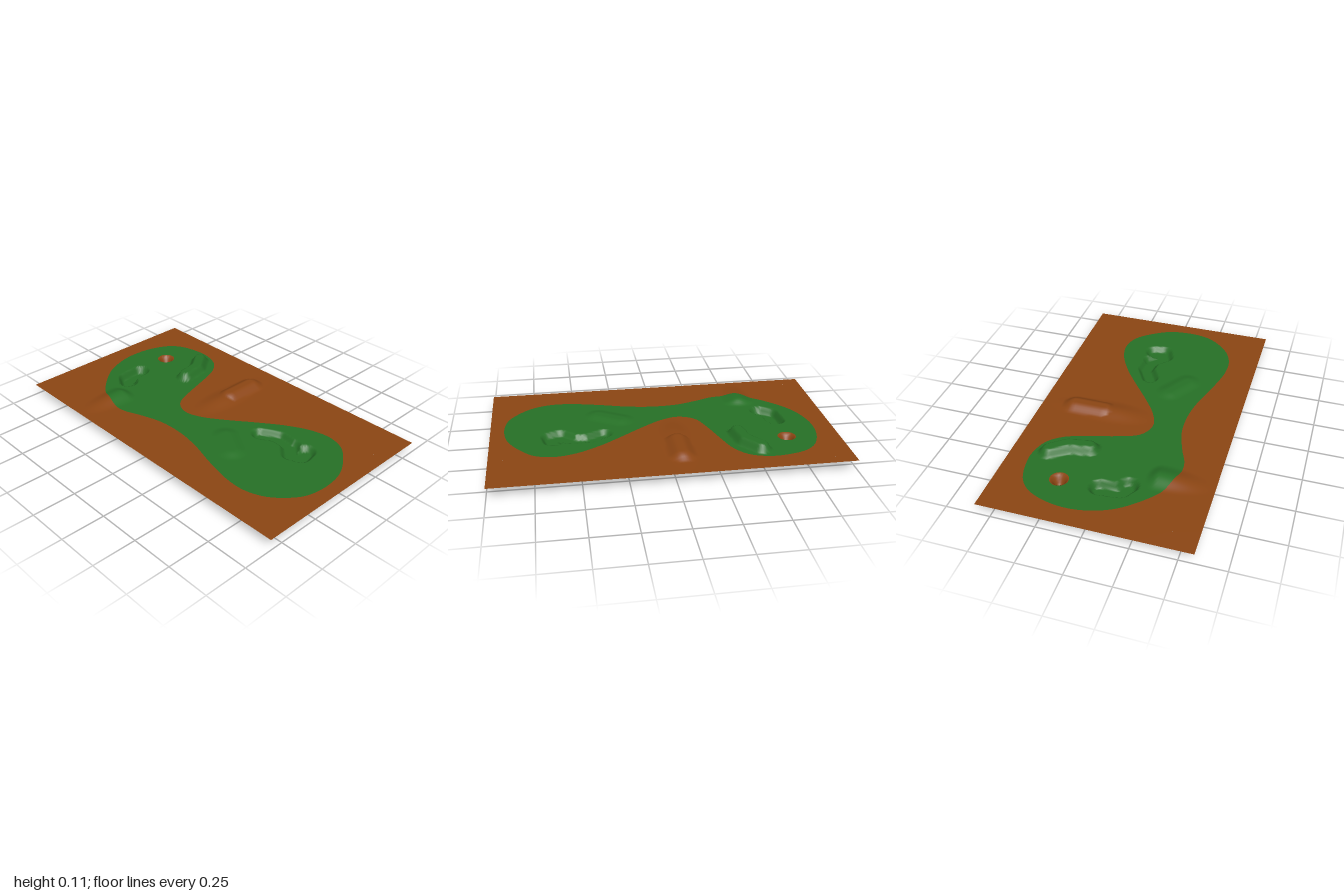
import * as THREE from 'three';

const BASE = 0.067, HALF_W = 0.58, HALF_L = 1;
const CUP = { x: 0.235, z: -0.695, r: 0.053 };
const smooth = THREE.MathUtils.smoothstep;

// Closed outline of the green, as [x, z]
const OUTLINE = [
  [0.12, -0.887], [0.25, -0.87], [0.36, -0.82], [0.42, -0.75], [0.455, -0.62], [0.455, -0.53],
  [0.42, -0.43], [0.34, -0.36], [0.2, -0.31], [0.05, -0.265], [-0.06, -0.22], [-0.1, -0.17],
  [-0.115, -0.1], [-0.08, 0], [0, 0.12], [0.1, 0.25], [0.2, 0.39], [0.27, 0.53], [0.29, 0.65],
  [0.26, 0.75], [0.18, 0.83], [0.06, 0.9], [-0.08, 0.92], [-0.2, 0.9], [-0.28, 0.85],
  [-0.36, 0.76], [-0.4, 0.65], [-0.4, 0.53], [-0.36, 0.35], [-0.31, 0.18], [-0.285, 0.03],
  [-0.29, -0.13], [-0.33, -0.27], [-0.37, -0.38], [-0.37, -0.48], [-0.32, -0.62],
  [-0.24, -0.72], [-0.12, -0.82], [0, -0.87],
];

// Flat-topped ridges (rise > 0) and trenches (rise < 0) following a path
const RIDGES = [
  { path: [[-0.13, -0.63], [-0.1, -0.68], [0.01, -0.69]], rise: -0.046, inner: 0.03, outer: 0.062 },
  { path: [[0.04, 0.35], [0.09, 0.44], [0.08, 0.54]], rise: -0.034, inner: 0.025, outer: 0.058 },
  { path: [[0.08, 0.54], [0.02, 0.6], [0.04, 0.65], [0.09, 0.64]], rise: -0.034, inner: 0.03, outer: 0.065 },
  { path: [[0.16, -0.42], [0.28, -0.44], [0.37, -0.51]], rise: 0.045, inner: 0.022, outer: 0.062 },
  { path: [[0.2, -0.06], [0.38, -0.06]], rise: 0.036, inner: 0.015, outer: 0.09 },
  { path: [[-0.2, 0.36], [-0.12, 0.23]], rise: 0.014, inner: 0.015, outer: 0.09 },
];

// Lopsided mounds with their own reach to each side
const MOUNDS = [
  { x: -0.27, z: -0.53, left: 0.3, right: 0.07, depth: 0.11, rise: 0.03 },
  { x: 0.15, z: -0.06, left: 0.26, right: 0.4, depth: 0.11, rise: 0.02 },
];

function pathDistance(x, z, path) {
  let best = Infinity;
  for (let i = 0; i + 1 < path.length; i++) {
    const [ax, az] = path[i], dx = path[i + 1][0] - ax, dz = path[i + 1][1] - az;
    const t = THREE.MathUtils.clamp(((x - ax) * dx + (z - az) * dz) / (dx * dx + dz * dz), 0, 1);
    best = Math.min(best, Math.hypot(x - ax - t * dx, z - az - t * dz));
  }
  return best;
}

function height(x, z) {
  let up = 0, down = 0, swell = 0;
  for (const r of RIDGES) {
    const h = r.rise * (1 - smooth(pathDistance(x, z, r.path), r.inner, r.outer));
    up = Math.max(up, h);
    down = Math.min(down, h);
  }
  for (const m of MOUNDS) {
    const u = (x - m.x) / (x < m.x ? m.left : m.right);
    const d = Math.hypot(u, (z - m.z) / m.depth);
    swell = Math.max(swell, m.rise * (1 - smooth(d, 0, 1)));
  }
  const cup = BASE * (1 - smooth(Math.hypot(x - CUP.x, z - CUP.z), 0, CUP.r));
  return BASE + Math.max(up, swell) + down - cup;
}

// Mesh over rows of [x, z] points; keep(x, z) selects which cells belong to it
function sheet(name, rows, material, keep = () => true) {
  const pos = [], nor = [], index = [], n = rows[0].length, e = 0.002;
  for (const row of rows) for (const [x, z] of row) {
    pos.push(x, height(x, z), z);
    const v = new THREE.Vector3(
      (height(x - e, z) - height(x + e, z)) / (2 * e), 1,
      (height(x, z - e) - height(x, z + e)) / (2 * e)).normalize();
    nor.push(v.x, v.y, v.z);
  }
  for (let j = 0; j + 1 < rows.length; j++) for (let i = 0; i + 1 < n; i++) {
    const corners = [rows[j][i], rows[j][i + 1], rows[j + 1][i], rows[j + 1][i + 1]];
    const cx = corners.reduce((s, p) => s + p[0], 0) / 4;
    const cz = corners.reduce((s, p) => s + p[1], 0) / 4;
    if (!keep(cx, cz)) continue;
    const a = j * n + i, b = a + n;
    index.push(a, b, a + 1, b, b + 1, a + 1);
  }
  const geo = new THREE.BufferGeometry();
  geo.setAttribute('position', new THREE.Float32BufferAttribute(pos, 3));
  geo.setAttribute('normal', new THREE.Float32BufferAttribute(nor, 3));
  geo.setIndex(index);
  const mesh = new THREE.Mesh(geo, material);
  mesh.name = name;
  return mesh;
}

export function createModel() {
  const group = new THREE.Group();
  group.name = 'golfHole';
  const earth = new THREE.MeshStandardMaterial({ color: 0x8b4513, side: THREE.DoubleSide });
  const grass = new THREE.MeshStandardMaterial({ color: 0x22701f, side: THREE.DoubleSide });
  grass.color.set(0x267026);

  // Left and right edge of the green at a given z
  const curve = new THREE.CatmullRomCurve3(OUTLINE.map(([x, z]) => new THREE.Vector3(x, 0, z)), true);
  const pts = curve.getPoints(800);
  const zMin = Math.min(...pts.map(p => p.z)), zMax = Math.max(...pts.map(p => p.z));
  const edges = z => {
    let lo = Infinity, hi = -Infinity;
    for (let i = 0; i + 1 < pts.length; i++) {
      const p = pts[i], q = pts[i + 1];
      if ((p.z - z) * (q.z - z) > 0 || p.z === q.z) continue;
      const x = p.x + (q.x - p.x) * (z - p.z) / (q.z - p.z);
      lo = Math.min(lo, x);
      hi = Math.max(hi, x);
    }
    return [lo, hi];
  };

  // Rows crowd together toward the rounded ends
  const N = 220, left = [], green = [], right = [];
  const line = (a, b, z, n) => Array.from({ length: n + 1 }, (_, i) => [a + (b - a) * i / n, z]);
  for (let j = 0; j <= N; j++) {
    const t = (1 - Math.cos(Math.PI * j / N)) / 2;
    const z = THREE.MathUtils.clamp(zMin + (zMax - zMin) * t, zMin + 1e-5, zMax - 1e-5);
    const [lo, hi] = edges(z);
    left.push(line(-HALF_W, lo, z, 24));
    green.push(line(lo, hi, z, 64));
    right.push(line(hi, HALF_W, z, 36));
  }

  // Pull nearby points onto the rim of the cup
  for (const row of green) for (const p of row) {
    const dx = p[0] - CUP.x, dz = p[1] - CUP.z, d = Math.hypot(dx, dz);
    if (Math.abs(d - CUP.r) < 0.0075) {
      p[0] = CUP.x + dx * CUP.r / d;
      p[1] = CUP.z + dz * CUP.r / d;
    }
  }
  const inCup = (x, z) => Math.hypot(x - CUP.x, z - CUP.z) < CUP.r;

  group.add(
    sheet('green', green, grass, (x, z) => !inCup(x, z)),
    sheet('cup', green, earth, inCup),
    sheet('groundRight', left, earth),
    sheet('groundLeft', right, earth),
    sheet('groundBack', [-HALF_L, zMin].map(z => line(-HALF_W, HALF_W, z, 8)), earth),
    sheet('groundFront', [zMax, HALF_L].map(z => line(-HALF_W, HALF_W, z, 8)), earth),
  );
  return group;
}
